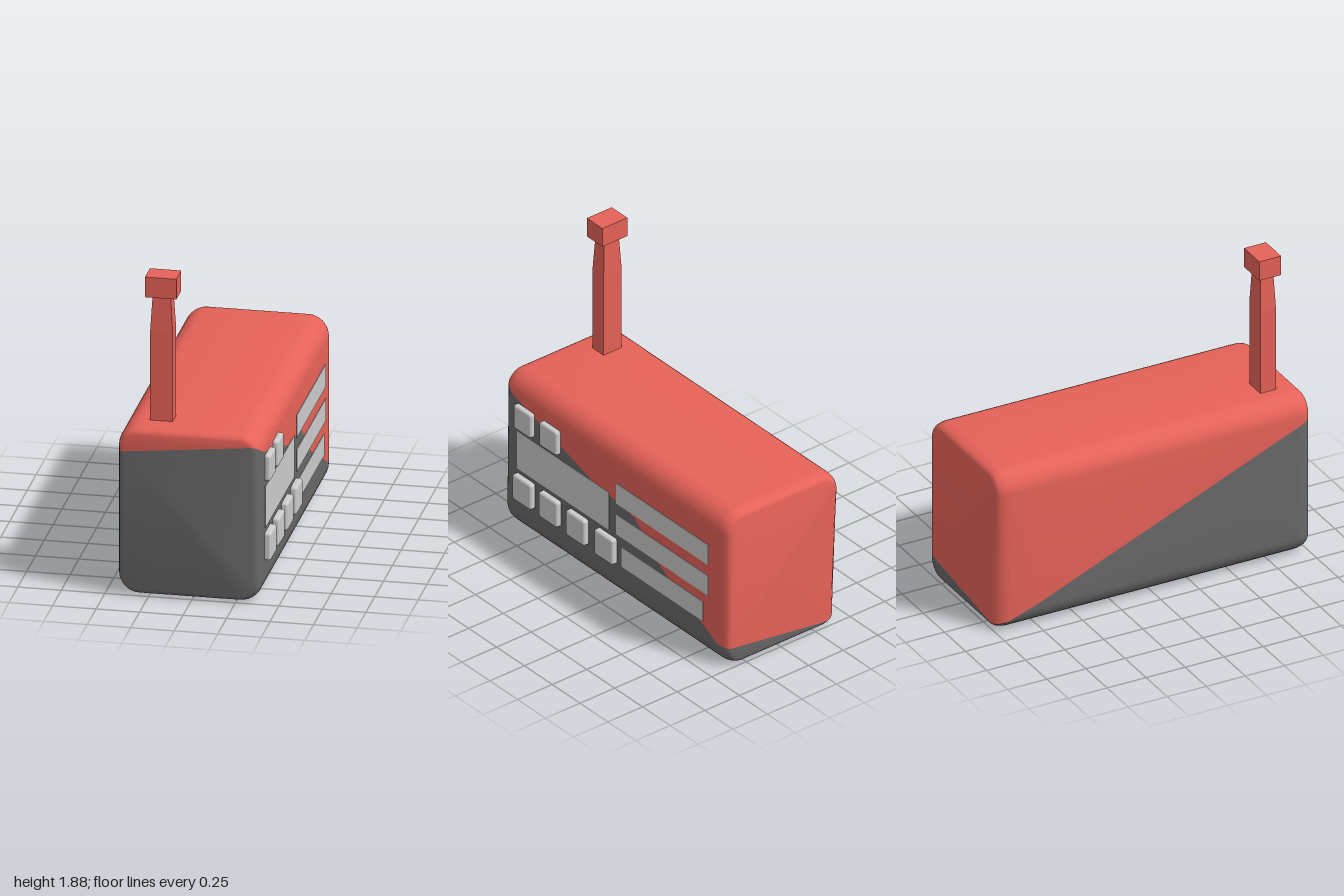
import * as THREE from 'three';
import { toCreasedNormals } from 'three/addons/utils/BufferGeometryUtils.js';
import { RoundedBoxGeometry } from 'three/addons/geometries/RoundedBoxGeometry.js';

const red = new THREE.MeshStandardMaterial({ color: 0xe66258 });
const dark = new THREE.MeshStandardMaterial({ color: 0x696969 });
const grey = new THREE.MeshStandardMaterial({ color: 0xcccccc });

// Body: rounded cross-section swept along z, with softened ends
const CX = -0.018, W = 0.413, H = 0.506, R = 0.125;
const END_DEPTH = 0.08, END_INSET = 0.04;

// Height of the colour split along z, on the model's left (+x) and right (-x) sides
const SPLIT = [[-1, 0.13], [-0.9, 0.14], [-0.76, 0.22], [-0.48, 0.36], [-0.38, 0.42],
  [-0.18, 0.605], [-0.1, 0.63], [0.2, 0.665], [0.5, 0.76], [0.92, 0.89], [1, 0.94]];

function splitLeft(z) {
  let i = 0;
  while (i < SPLIT.length - 2 && z > SPLIT[i + 1][0]) i++;
  const [z0, y0] = SPLIT[i], [z1, y1] = SPLIT[i + 1];
  return y0 + (y1 - y0) * (z - z0) / (z1 - z0);
}
const splitRight = (z) => 0.035 + (0.865 - 0.035) * (z + 1) / 2;

// Body stations: elliptical end rounding plus the corners of the split line
function stations() {
  const zs = [];
  for (let i = 0; i <= 6; i++) {
    const z = 1 - END_DEPTH * (1 - Math.cos(i * Math.PI / 12));
    zs.push(z, -z);
  }
  SPLIT.slice(2, -2).forEach(([z]) => zs.push(z));
  return zs.sort((a, b) => a - b);
}

// Counter-clockwise outline of one colour's share of the section at z
function chain(z, upper) {
  const t = Math.max(0, (Math.abs(z) - 1 + END_DEPTH) / END_DEPTH);
  const e = END_INSET * (1 - Math.sqrt(Math.max(0, 1 - t * t)));
  const w = W - e, h = H - e, r = R - e, s = upper ? 1 : -1, N = 8;
  const side = (sx) => {
    const split = THREE.MathUtils.clamp((sx > 0 ? splitLeft(z) : splitRight(z)) - H, -h, h);
    const ys = [split];
    for (let i = 0; i <= N; i++) {
      const y = s * (h - r + r * Math.sin(i * Math.PI / 2 / N));
      ys.push(upper ? Math.max(y, split) : Math.min(y, split));
    }
    return ys.map((y) => {
      const d = Math.max(0, Math.abs(y) - (h - r));
      return [CX + sx * (w - r + Math.sqrt(Math.max(0, r * r - d * d))), y + H, z];
    });
  };
  return [...side(s), ...side(-s).reverse()];
}

function shell(upper) {
  const rows = stations().map((z) => chain(z, upper));
  const n = rows[0].length, last = rows.length - 1, index = [];
  for (let i = 0; i < last; i++) {
    for (let j = 0; j < n - 1; j++) {
      const a = i * n + j, d = a + n;
      index.push(a, a + 1, d, a + 1, d + 1, d);
    }
  }
  // Flat end caps
  for (let j = 1; j < n - 1; j++) {
    index.push(0, j + 1, j, last * n, last * n + j, last * n + j + 1);
  }
  const geo = new THREE.BufferGeometry();
  geo.setAttribute('position', new THREE.Float32BufferAttribute(rows.flat(2), 3));
  geo.setIndex(index);
  return toCreasedNormals(geo, 0.9);
}

// Four-sided prism with different top and bottom half widths
function prism(top, bottom, height, depthRatio) {
  const geo = new THREE.CylinderGeometry(top * Math.SQRT2, bottom * Math.SQRT2, height, 4);
  geo.rotateY(Math.PI / 4).scale(1, 1, depthRatio);
  return toCreasedNormals(geo, 0.3);
}

export function createModel() {
  const model = new THREE.Group();
  const add = (name, geo, mat, x = 0, y = 0, z = 0, parent = model) => {
    const mesh = new THREE.Mesh(geo, mat);
    mesh.name = name;
    mesh.position.set(x, y, z);
    parent.add(mesh);
  };

  add('upperBody', shell(true), red);
  add('lowerBody', shell(false), dark);

  // Antenna
  const antenna = new THREE.Group();
  antenna.name = 'antenna';
  antenna.position.set(-0.203, 0, 0.813);
  model.add(antenna);
  add('antennaStem', prism(0.065, 0.065, 0.56, 0.77), red, 0, 1.26, 0, antenna);
  add('antennaTaper', prism(0.052, 0.065, 0.22, 0.77), red, 0, 1.65, 0, antenna);
  add('antennaTip', new THREE.BoxGeometry(0.18, 0.122, 0.14), red, 0, 1.819, 0, antenna);

  // Buttons on the control side
  const button = (z, y, size, out) =>
    add('button', new RoundedBoxGeometry(0.07, size, size, 3, 0.016), grey, out - 0.035, y, z);
  [0.8, 0.568].forEach((z) => button(z, 0.775, 0.157, 0.427));
  [0.8, 0.565, 0.32, 0.065].forEach((z) => button(z, 0.304, 0.167, 0.431));

  // Thin display panel and speaker strips
  const plate = (name, z0, z1, y0, y1) =>
    add(name, new THREE.BoxGeometry(0.01, y1 - y0, z1 - z0), grey, 0.393, (y0 + y1) / 2, (z0 + z1) / 2);
  plate('displayPanel', 0.053, 0.877, 0.415, 0.665);
  plate('speakerStrip', -0.84, -0.015, 0.625, 0.76);
  plate('speakerStrip', -0.84, -0.015, 0.42, 0.553);
  plate('speakerStrip', -0.79, -0.063, 0.227, 0.357);

  return model;
}
